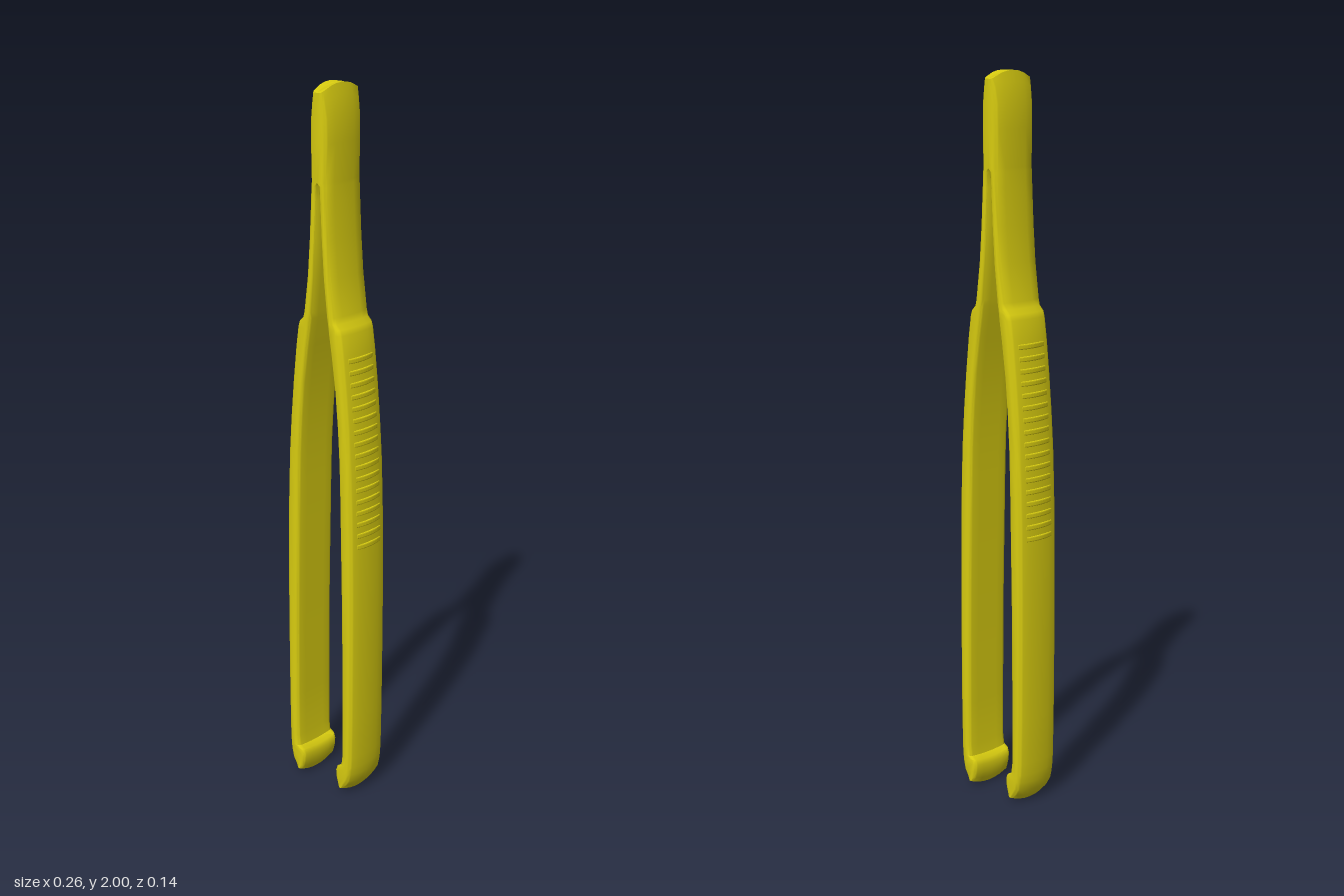
import * as THREE from 'three';
import { toCreasedNormals } from 'three/addons/utils/BufferGeometryUtils.js';

const HALF = 0.071;   // half width in z
const BULGE = 0.008;  // swelling of the outer face

// Arm profile from tip to head: [height, inner x, outer x]
const ROWS = [
  [0, 0.075, 0.089], [0.015, 0.067, 0.103], [0.035, 0.062, 0.114], [0.06, 0.06, 0.119],
  [0.075, 0.065, 0.121], [0.085, 0.08, 0.122], [0.12, 0.084, 0.124], [0.25, 0.084, 0.126],
  [0.45, 0.083, 0.127], [0.6, 0.081, 0.127], [0.8, 0.077, 0.125], [0.9, 0.075, 0.122],
  [1.0, 0.072, 0.118], [1.1, 0.066, 0.111], [1.2, 0.057, 0.102], [1.3, 0.043, 0.091],
  [1.355, 0.034, 0.083], [1.37, 0.032, 0.078], [1.383, 0.03, 0.065], [1.4, 0.028, 0.06],
  [1.5, 0.018, 0.045], [1.6, 0.011, 0.037], [1.7, 0.006, 0.032], [1.74, 0.003, 0.031],
  [1.75, 0, 0.031], [1.85, 0, 0.034], [1.92, 0, 0.033], [1.97, 0, 0.026], [2.0, 0, 0.02],
];

// Rounded cross-section; the outer face swells and both ends are bowed across the width
function section([y, xi, xo]) {
  const b = Math.min(BULGE, (xo - xi) * 0.25);
  const edge = xo - b;
  const ro = Math.min(0.012, (edge - xi) * 0.45);
  const ri = xi === 0 ? 0 : ro;
  const pts = [];
  const corner = (cx, cz, r, from) => {
    for (let i = 0; i <= 4; i++) {
      const a = from + (i / 4) * Math.PI / 2;
      pts.push([cx + r * Math.cos(a), cz + r * Math.sin(a)]);
    }
  };
  corner(edge - ro, -HALF + ro, ro, -Math.PI / 2);
  for (let i = -2; i <= 2; i++) pts.push([edge, i * 0.3 * (HALF - ro)]);
  corner(edge - ro, HALF - ro, ro, 0);
  corner(xi + ri, HALF - ri, ri, Math.PI / 2);
  for (let i = 2; i >= -2; i--) pts.push([xi, i * 0.3 * (HALF - ri)]);
  corner(xi + ri, -HALF + ri, ri, Math.PI);
  const nearTip = Math.max(0, 1 - y / 0.12), nearHead = Math.max(0, 1 - (2 - y) / 0.12);
  return pts.map(([x, z]) => {
    const q = (z / HALF) ** 2;
    const u = (x - xi) / (edge - xi);
    return [x + b * (1 - q) * u, y + q * (0.016 * nearTip - 0.022 * nearHead), z];
  });
}

function armGeometry(side) {
  const loops = ROWS.map(section);
  const n = loops[0].length, last = loops.length - 1;
  const pos = [], idx = [];
  loops.forEach((l) => l.forEach(([x, y, z]) => pos.push(side * x, y, z)));
  const tri = (a, b, c) => (side > 0 ? idx.push(a, b, c) : idx.push(a, c, b));
  for (let i = 0; i < last; i++) {
    for (let k = 0; k < n; k++) {
      const a = i * n + k, b = i * n + (k + 1) % n;
      tri(a, a + n, b);
      tri(b, a + n, b + n);
    }
  }
  // End caps
  for (const i of [0, last]) {
    const [y, xi, xo] = ROWS[i];
    const m = pos.length / 3;
    pos.push(side * (xi + xo) / 2, y, 0);
    for (let k = 0; k < n; k++) {
      const a = i * n + k, b = i * n + (k + 1) % n;
      if (i === 0) tri(m, a, b); else tri(m, b, a);
    }
  }
  const g = new THREE.BufferGeometry();
  g.setAttribute('position', new THREE.Float32BufferAttribute(pos, 3));
  g.setIndex(idx);
  return toCreasedNormals(g, 0.7);
}

// Outer x of the arm at a given height
function outerAt(y) {
  const i = ROWS.findIndex((r) => r[0] > y);
  const [y0, , a] = ROWS[i - 1], [y1, , b] = ROWS[i];
  return a + (b - a) * (y - y0) / (y1 - y0);
}

export function createModel() {
  const model = new THREE.Group();
  model.name = 'tweezers';
  const material = new THREE.MeshStandardMaterial({ color: 0xd8cc10 });

  // Grip ridge: thin lens hugging the bulged outer face
  const lens = new THREE.Shape();
  lens.moveTo(-0.012, -0.045);
  lens.lineTo(-0.004, -0.045);
  lens.quadraticCurveTo(0.009, 0, -0.004, 0.045);
  lens.lineTo(-0.012, 0.045);
  lens.closePath();
  const ridge = new THREE.ExtrudeGeometry(lens, {
    depth: 0.008, bevelEnabled: true, bevelSize: 0.002, bevelThickness: 0.003, bevelSegments: 2, curveSegments: 10,
  });
  ridge.translate(0, 0, -0.004).rotateX(Math.PI / 2);

  for (const side of [1, -1]) {
    const arm = new THREE.Group();
    arm.name = side > 0 ? 'leftArm' : 'rightArm';
    const blade = new THREE.Mesh(armGeometry(side), material);
    blade.name = 'armBody';
    arm.add(blade);
    const grip = new THREE.Group();
    grip.name = 'gripRidges';
    for (let i = 0; i < 17; i++) {
      const y = 0.765 + i * 0.0325;
      const m = new THREE.Mesh(ridge, material);
      m.name = 'gripRidge';
      m.position.set(side * outerAt(y), y, 0);
      if (side < 0) m.rotation.y = Math.PI;
      grip.add(m);
    }
    arm.add(grip);
    model.add(arm);
  }
  return model;
}
